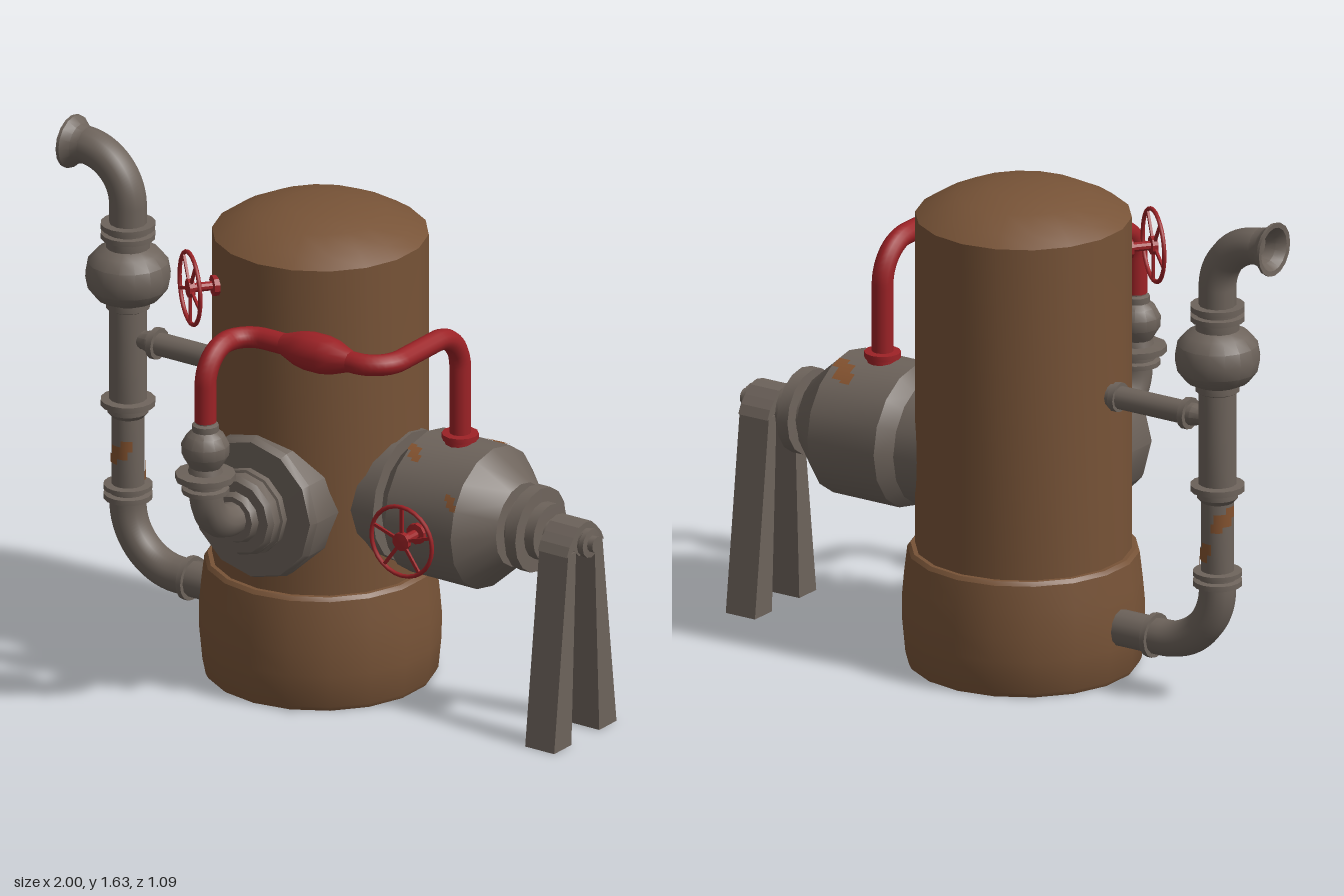
import * as THREE from 'three';
import { toCreasedNormals } from 'three/addons/utils/BufferGeometryUtils.js';

const V = (x, y, z) => new THREE.Vector3(x, y, z);
const material = (name, color) => {
  const m = new THREE.MeshStandardMaterial({ color });
  m.name = name;
  return m;
};

export function createModel() {
  const tankBrown = material('tank brown', 0x775337);
  const steel = material('weathered steel', 0x6d635b);
  const red = material('valve red', 0x9c2226);
  const rust = material('rust', 0x83522f);
  const model = new THREE.Group();
  model.name = 'boilerPlant';

  const add = (parent, name, geometry, mat) => {
    const mesh = new THREE.Mesh(geometry, mat);
    mesh.name = name;
    parent.add(mesh);
    return mesh;
  };
  // A turned part: profile of [radius, height] pairs, bottom to top
  const turned = (parent, name, profile, mat, sides = 16) => {
    const g = new THREE.LatheGeometry(profile.map(([r, y]) => new THREE.Vector2(r, y)), sides);
    return add(parent, name, toCreasedNormals(g, 0.55), mat);
  };
  // A group whose local +y runs along the given direction
  const axis = (name, position, direction) => {
    const g = new THREE.Group();
    g.name = name;
    g.position.copy(position);
    g.quaternion.setFromUnitVectors(V(0, 1, 0), direction.clone().normalize());
    model.add(g);
    return g;
  };
  // A pipe through corner points, each corner rounded by its radius
  const pipe = (name, points, radii, r, mat, segments = 40) => {
    const path = new THREE.CurvePath();
    let from = points[0];
    for (let i = 1; i < points.length - 1; i++) {
      const p = points[i], d = radii[i - 1];
      const a = p.clone().add(points[i - 1].clone().sub(p).setLength(d));
      const b = p.clone().add(points[i + 1].clone().sub(p).setLength(d));
      path.add(new THREE.LineCurve3(from, a));
      const k = 0.552;
      path.add(new THREE.CubicBezierCurve3(a, a.clone().lerp(p, k), b.clone().lerp(p, k), b));
      from = b;
    }
    path.add(new THREE.LineCurve3(from, points[points.length - 1]));
    return add(model, name, new THREE.TubeGeometry(path, segments, r, 12), mat);
  };
  // Irregular rust stain wrapped on a cylinder around local y
  const stain = (parent, r, y, angle, size) => {
    [[0, 0, 1, 0.7], [0.45, 0.4, 0.6, 0.6], [-0.35, -0.4, 0.6, 0.5]].forEach(([du, dv, w, h], i) => {
      const span = size * w / r;
      const g = new THREE.CylinderGeometry(r + 0.002 + i * 0.001, r + 0.002 + i * 0.001,
        size * h, 6, 1, true, angle + du * size / r - span / 2, span);
      add(parent, 'rustStain', g, rust).position.y = y + dv * size;
    });
  };

  // Main tank with domed lid and wider base
  const tank = axis('tank', V(-0.05, 0, -0.165), V(0, 1, 0));
  turned(tank, 'tankBody', [[0.338, 0.3], [0.338, 1.465], [0.29, 1.497], [0.21, 1.535],
    [0.11, 1.557], [0, 1.562]], tankBrown, 18);
  turned(tank, 'tankBase', [[0, 0], [0.36, 0], [0.368, 0.015], [0.378, 0.12], [0.379, 0.2],
    [0.372, 0.28], [0.362, 0.365], [0.352, 0.377], [0.33, 0.377]], tankBrown, 18);

  // Riser on the right side, with valve bulb and flanges
  const riser = axis('riserPipe', V(-0.785, 0, -0.17), V(0, 1, 0));
  turned(riser, 'riserFittings', [
    [0, 0.395], [0.077, 0.395], [0.077, 0.412], [0.06, 0.416], [0.06, 0.425], [0.077, 0.428], [0.077, 0.442],
    [0.052, 0.444], [0.052, 0.67], [0.065, 0.685], [0.065, 0.705], [0.086, 0.708], [0.086, 0.727],
    [0.06, 0.73], [0.06, 0.85], [0.06, 1.03], [0.069, 1.035], [0.069, 1.056], [0.1, 1.07], [0.127, 1.105],
    [0.135, 1.145], [0.127, 1.19], [0.1, 1.222], [0.07, 1.238], [0.07, 1.265], [0.086, 1.268],
    [0.086, 1.285], [0.07, 1.288], [0.07, 1.297], [0.086, 1.3], [0.086, 1.318], [0, 1.318]], steel);
  stain(riser, 0.052, 0.56, 0, 0.06);
  stain(riser, 0.052, 0.62, -2.2, 0.06);
  stain(riser, 0.052, 0.5, 2.5, 0.06);
  pipe('outletElbow', [V(-0.785, 1.31, -0.17), V(-0.785, 1.54, -0.17), V(-0.96, 1.54, -0.17)],
    [0.165], 0.059, steel);
  turned(axis('outlet', V(-0.94, 1.54, -0.17), V(-1, 0, 0)), 'outletFlare',
    [[0.059, 0], [0.064, 0.025], [0.085, 0.05], [0.086, 0.06], [0.07, 0.058], [0.05, 0.03], [0.045, -0.005], [0, -0.005]], steel);
  pipe('inletElbow', [V(-0.785, 0.41, -0.17), V(-0.785, 0.18, -0.17), V(-0.41, 0.18, -0.17)],
    [0.2], 0.058, steel);
  turned(axis('inletFlange', V(-0.555, 0.18, -0.17), V(1, 0, 0)), 'flange',
    [[0, 0], [0.071, 0], [0.071, 0.018], [0, 0.018]], steel);

  // Branch between riser and tank
  turned(axis('branchPipe', V(-0.785, 0.937, -0.17), V(1, 0, 0)), 'branch',
    [[0.03, 0], [0.03, 0.065], [0.036, 0.085], [0.036, 0.1], [0.051, 0.1], [0.051, 0.12], [0.037, 0.12],
      [0.037, 0.365], [0.047, 0.365], [0.047, 0.385], [0.037, 0.385], [0.037, 0.43]], steel, 12);

  // Front port: wide collar on the tank, hub and elbow
  turned(axis('frontPort', V(-0.05, 0.655, 0.02), V(0, 0, 1)), 'portCollar',
    [[0.236, 0], [0.236, 0.165], [0.225, 0.19], [0.14, 0.193], [0.14, 0.215], [0.132, 0.218], [0.132, 0.25],
      [0.12, 0.268], [0.085, 0.268], [0.075, 0.29], [0, 0.29]], steel, 12);
  pipe('portElbow', [V(-0.05, 0.66, 0.28), V(-0.05, 0.66, 0.45), V(-0.05, 0.82, 0.45)],
    [0.13], 0.053, steel);
  turned(axis('portValve', V(-0.053, 0, 0.45), V(0, 1, 0)), 'valveBulb',
    [[0, 0.795], [0.075, 0.795], [0.075, 0.81], [0.06, 0.815], [0.06, 0.835], [0.095, 0.838], [0.095, 0.858],
      [0.055, 0.862], [0.05, 0.88], [0.074, 0.92], [0.076, 0.955], [0.06, 0.985], [0.042, 1.0],
      [0.042, 1.02], [0.03, 1.025], [0.03, 1.04], [0, 1.04]], steel, 12);

  // Red connecting pipe with a bulge
  pipe('redPipe', [V(-0.053, 1.03, 0.45), V(-0.053, 1.26, 0.45), V(-0.053, 1.26, 0.25), V(0.478, 1.26, 0.25),
    V(0.478, 1.26, -0.17), V(0.478, 0.87, -0.17)], [0.11, 0.088, 0.1, 0.13], 0.034, red, 90);
  turned(axis('redPipeBulge', V(0.1, 1.26, 0.25), V(1, 0, 0)), 'bulge',
    [[0.033, 0], [0.055, 0.06], [0.062, 0.1], [0.062, 0.16], [0.055, 0.2], [0.033, 0.26]], red, 12);
  turned(axis('redPipeFoot', V(0.478, 0.86, -0.17), V(0, 1, 0)), 'footFlange',
    [[0.05, 0], [0.05, 0.03], [0.058, 0.032], [0.058, 0.05], [0.034, 0.052]], red, 12);

  // Side vessel with stepped end and shaft
  const vessel = axis('sideVessel', V(0, 0.657, -0.168), V(1, 0, 0));
  turned(vessel, 'vesselCollar', [[0.21, 0.08], [0.21, 0.295], [0, 0.297]], steel, 16);
  turned(vessel, 'vesselBody', [[0.14, 0.285], [0.17, 0.3], [0.23, 0.355], [0.23, 0.605], [0.135, 0.71],
    [0.095, 0.712], [0.095, 0.742], [0.137, 0.744], [0.137, 0.785], [0.092, 0.787], [0.092, 0.822], [0, 0.824]], steel, 16);
  turned(vessel, 'shaft', [[0.045, 0.81], [0.045, 0.96], [0.047, 0.962], [0.047, 0.978], [0.026, 0.98],
    [0.026, 1.0], [0, 1.0]], steel, 12);
  // Local frame: -x is up and +z is forward, so angle -PI/2 is the top
  stain(vessel, 0.23, 0.55, -Math.PI / 2 - 0.5, 0.07);
  stain(vessel, 0.23, 0.385, -Math.PI / 2 + 0.5, 0.045);
  stain(vessel, 0.23, 0.585, -0.5, 0.035);

  // Splayed support legs and saddle, drawn in side profile and extruded along x
  const stand = new THREE.Group();
  stand.name = 'shaftStand';
  stand.position.set(0.845, 0, -0.168);
  model.add(stand);
  const extrudeX = (name, points) => {
    const g = new THREE.ExtrudeGeometry(new THREE.Shape(points.map(([z, y]) => new THREE.Vector2(-z, y))),
      { depth: 0.11, bevelEnabled: false });
    g.rotateY(Math.PI / 2);
    add(stand, name, g, steel);
  };
  for (const s of [1, -1]) {
    extrudeX(s > 0 ? 'frontLeg' : 'backLeg',
      [[0.168, 0], [0.075, 0], [0.05, 0.64], [0.092, 0.64]].map(([z, y]) => [s * z, y]));
  }
  extrudeX('saddle', [[-0.1, 0.635], [-0.06, 0.645], [-0.035, 0.62], [0.035, 0.62], [0.06, 0.645], [0.1, 0.635],
    [0.085, 0.665], [0.062, 0.69], [0.035, 0.715], [0, 0.722], [-0.035, 0.715], [-0.062, 0.69], [-0.085, 0.665]]);

  // Five-spoked handwheels; local +y points outward along the stem
  const handwheel = (name, position, direction, stem) => {
    const g = axis(name, position, direction);
    add(g, 'rim', new THREE.TorusGeometry(0.115, 0.007, 8, 28).rotateX(Math.PI / 2), red);
    turned(g, 'stem', [[0.034, -stem], [0.034, -stem + 0.018], [0.015, -stem + 0.02], [0.015, -0.012],
      [0.03, -0.01], [0.03, 0.008], [0, 0.012]], red, 10);
    for (let i = 0; i < 5; i++) {
      const spoke = add(g, 'spoke', new THREE.BoxGeometry(0.01, 0.008, 0.1).translate(0, 0, 0.065), red);
      spoke.rotation.y = Math.PI + i * Math.PI * 2 / 5;
    }
  };
  handwheel('vesselHandwheel', V(0.478, 0.65, 0.145), V(0, 0, 1), 0.09);
  handwheel('tankHandwheel', V(-0.313, 1.32, 0.165), V(-0.62, 0, 0.78), 0.09);

  return model;
}
